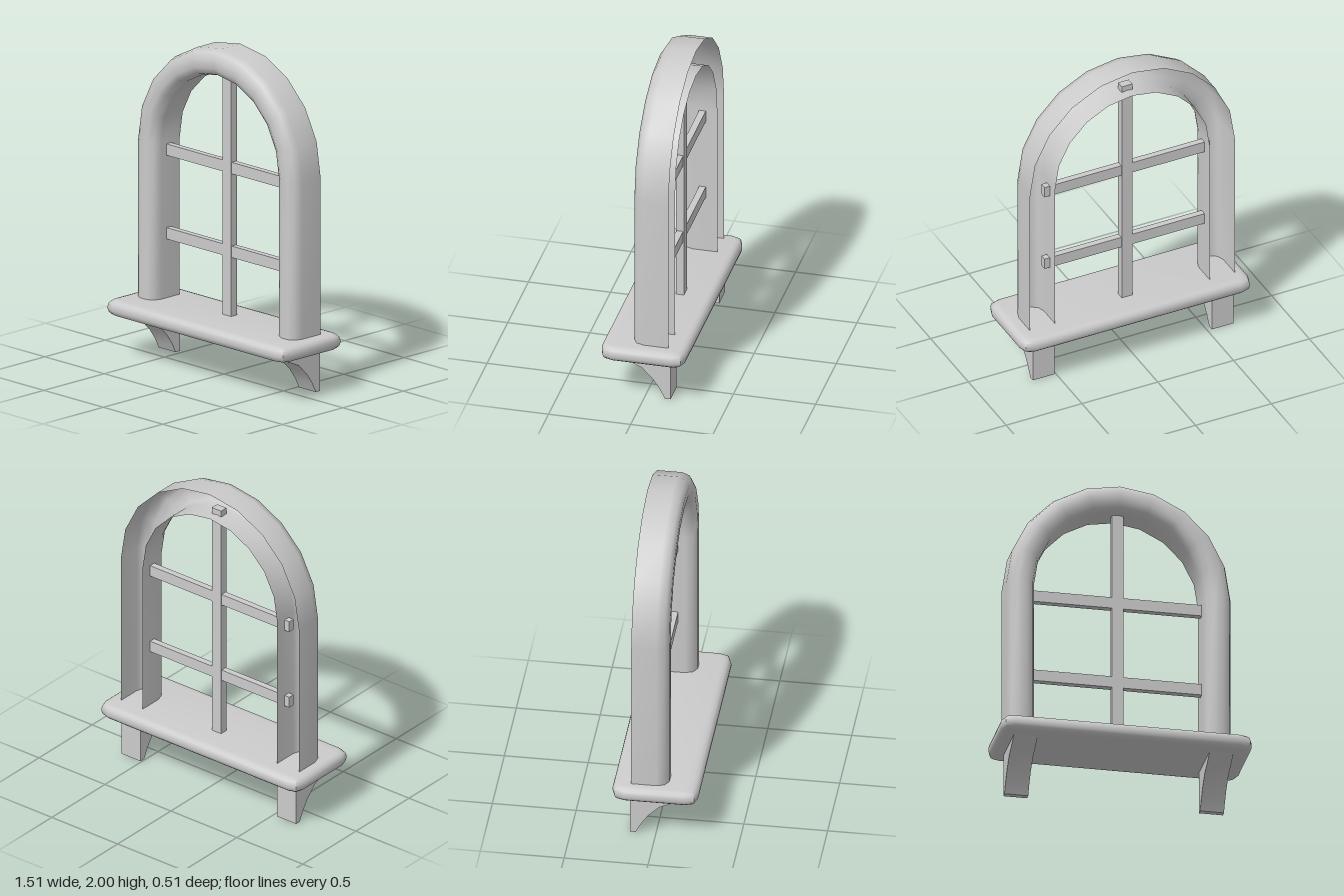
import * as THREE from 'three';
import { toCreasedNormals } from 'three/addons/utils/BufferGeometryUtils.js';

const CX = -0.01; // centre line of the frame

function createMaterial(side = THREE.FrontSide) {
  return new THREE.MeshStandardMaterial({ color: 0xcccccc, side });
}

function addMesh(parent, name, geometry, material) {
  const mesh = new THREE.Mesh(geometry, material);
  mesh.name = name;
  parent.add(mesh);
  return mesh;
}

// Arched channel, open at the back: a rounded profile swept up, over and down
function archGeometry() {
  // [inset from the outer edge, z]
  const profile = [
    [0, -0.145], [0, 0.005], [0.016, 0.052], [0.055, 0.075],
    [0.11, 0.075], [0.149, 0.052], [0.165, 0.005], [0.165, -0.145],
  ];
  const springY = 1.32, baseY = 0.32, steps = 10;
  const rings = [];
  const ring = (angle, y) => rings.push(profile.map(([inset, z]) => [
    CX + Math.cos(angle) * (0.675 - inset),
    y + Math.sin(angle) * (0.68 - inset),
    z,
  ]));
  ring(0, baseY);
  for (let i = 0; i <= steps; i++) ring((i / steps) * Math.PI, springY);
  ring(Math.PI, baseY);

  const n = profile.length, index = [];
  for (let i = 0; i < rings.length - 1; i++) {
    for (let j = 0; j < n - 1; j++) {
      const a = i * n + j, b = a + n;
      index.push(a, b, a + 1, b, b + 1, a + 1);
    }
  }
  const geometry = new THREE.BufferGeometry();
  geometry.setAttribute('position', new THREE.Float32BufferAttribute(rings.flat(2), 3));
  geometry.setIndex(index);
  geometry.computeVertexNormals();
  return geometry;
}

// Sill slab with rounded corners and a bullnose edge
function sillGeometry() {
  const w = 0.715, d = 0.215, r = 0.04;
  const shape = new THREE.Shape();
  shape.moveTo(-w + r, -d);
  shape.lineTo(w - r, -d);
  shape.quadraticCurveTo(w, -d, w, -d + r);
  shape.lineTo(w, d - r);
  shape.quadraticCurveTo(w, d, w - r, d);
  shape.lineTo(-w + r, d);
  shape.quadraticCurveTo(-w, d, -w, d - r);
  shape.lineTo(-w, -d + r);
  shape.quadraticCurveTo(-w, -d, -w + r, -d);
  const geometry = new THREE.ExtrudeGeometry(shape, {
    depth: 0.02, bevelThickness: 0.036, bevelSize: 0.041, bevelSegments: 3, curveSegments: 2,
  });
  geometry.rotateX(-Math.PI / 2);
  geometry.translate(0, 0.297, 0);
  return toCreasedNormals(geometry, 0.9);
}

// Curved bracket: side outline drawn as (z, y), extruded across x
function bracketGeometry(width) {
  const outline = [
    [-0.155, 0.28], [-0.155, 0], [-0.12, 0], [-0.09, 0.06], [-0.045, 0.125],
    [0.02, 0.19], [0.09, 0.222], [0.16, 0.262], [0.16, 0.28],
  ];
  const shape = new THREE.Shape(outline.map(([z, y]) => new THREE.Vector2(-z, y)));
  const geometry = new THREE.ExtrudeGeometry(shape, { depth: width, bevelEnabled: false });
  geometry.translate(0, 0, -width / 2);
  geometry.rotateY(Math.PI / 2);
  return toCreasedNormals(geometry, 0.6);
}

export function createModel() {
  const group = new THREE.Group();
  group.name = 'archedWindow';
  const solid = createMaterial();

  addMesh(group, 'archedFrame', archGeometry(), createMaterial(THREE.DoubleSide));
  addMesh(group, 'sill', sillGeometry(), solid);

  // Glazing bars, their ends poking through the inner wall of the frame
  const upright = addMesh(group, 'verticalBar', new THREE.BoxGeometry(0.07, 1.55, 0.05), solid);
  upright.position.set(CX + 0.003, 1.095, -0.055);
  for (const [name, y] of [['lowerBar', 0.75], ['upperBar', 1.265]]) {
    const bar = addMesh(group, name, new THREE.BoxGeometry(1.09, 0.07, 0.04), solid);
    bar.position.set(CX, y, -0.055);
  }

  // Brackets below the sill
  const bracket = bracketGeometry(0.143);
  for (const [name, side] of [['leftBracket', 1], ['rightBracket', -1]]) {
    addMesh(group, name, bracket, solid).position.x = CX + side * 0.59;
  }
  return group;
}
